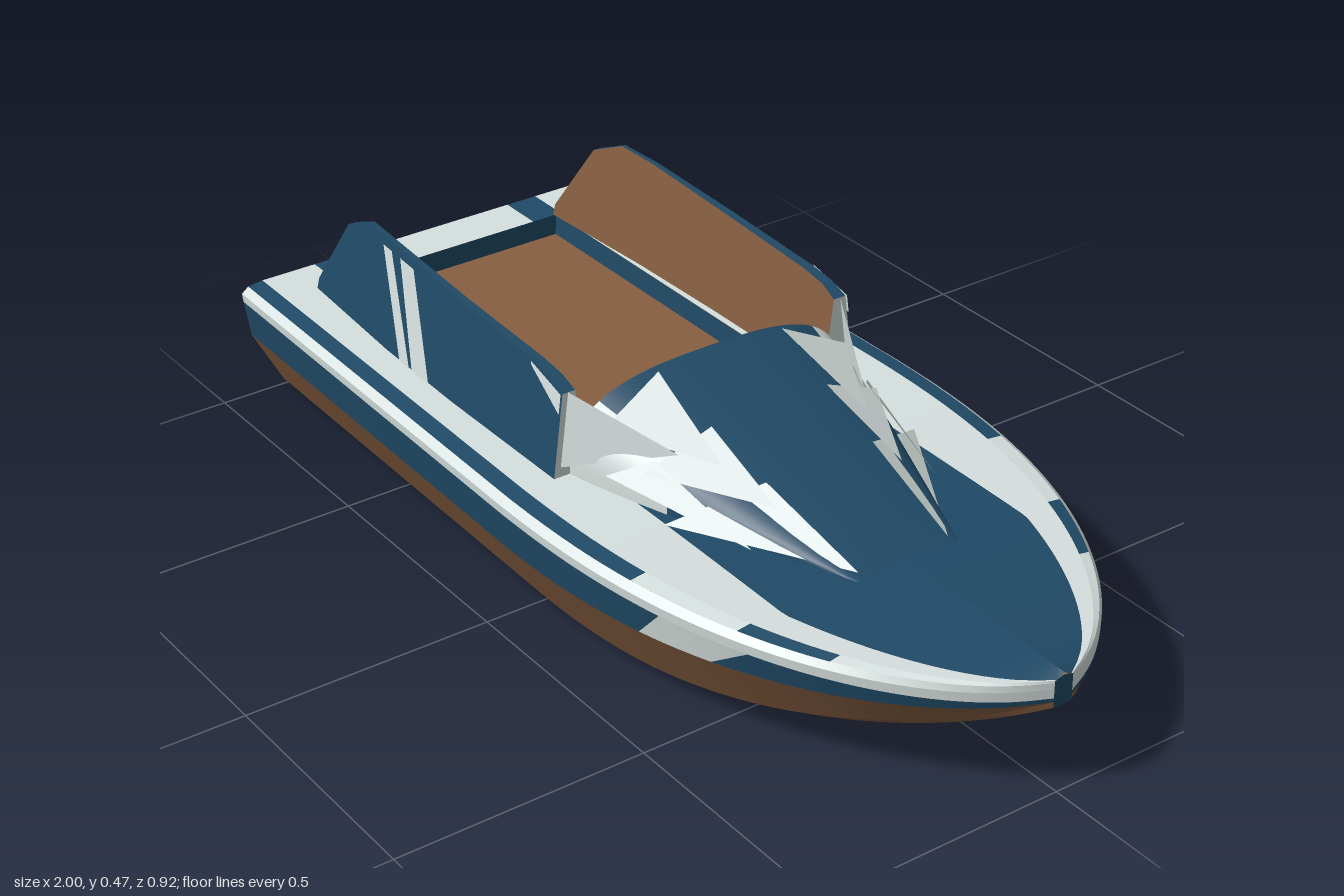
import * as THREE from 'three';

const mat = (name, color) =>
  new THREE.MeshStandardMaterial({ name, color, side: THREE.DoubleSide });
const lerp = THREE.MathUtils.lerp;

export function createModel() {
  const boat = new THREE.Group();
  boat.name = 'boat';
  const blue = mat('navyBlue', 0x204a66);
  const white = mat('paleGrey', 0xd6e0de);
  const brown = mat('brown', 0x875f41);
  const dark = mat('darkInterior', 0x2a2c30);

  // Smooth grid surface f(u, v) on the +z side, mirrored to -z
  function surf(name, material, f, nu = 1, nv = 1) {
    const pos = [], idx = [];
    for (const s of [1, -1]) {
      const base = pos.length / 3;
      for (let i = 0; i <= nu; i++) for (let j = 0; j <= nv; j++) {
        const [x, y, z] = f(i / nu, j / nv);
        pos.push(x, y, z * s);
      }
      for (let i = 0; i < nu; i++) for (let j = 0; j < nv; j++) {
        const a = base + i * (nv + 1) + j, b = a + nv + 1;
        if (s > 0) idx.push(a, b, a + 1, b, b + 1, a + 1);
        else idx.push(a, a + 1, b, b, a + 1, b + 1);
      }
    }
    const g = new THREE.BufferGeometry();
    g.setAttribute('position', new THREE.Float32BufferAttribute(pos, 3));
    g.setIndex(idx);
    g.computeVertexNormals();
    const mesh = new THREE.Mesh(g, material);
    mesh.name = name;
    boat.add(mesh);
  }
  // Flat patch from four corners: a, b along the first edge, c, d along the second
  const quad = (name, m, a, b, c, d) => surf(name, m, (u, v) =>
    [0, 1, 2].map(k => lerp(lerp(a[k], b[k], u), lerp(c[k], d[k], u), v)));

  // Hull lines: half width, keel, waterline and deck heights along x
  const fore = x => Math.min(1, Math.max(0, x));
  const width = x => x < 0 ? 0.46 + 0.02 * x
    : Math.max(0.02, 0.46 * Math.pow(1 - Math.pow(fore(x), 2.4), 0.65));
  const keel = x => 0.18 * Math.pow(fore(x), 2.2);
  const water = x => 0.135 + 0.058 * Math.pow(fore(x), 1.5);
  const deckY = x => 0.25 - 0.015 * fore(x) ** 2;
  const centre = x => Math.min(0.27, width(x) * 0.73);
  const lines = [
    x => [x, keel(x), 0],
    x => [x, keel(x), 0.76 * width(x)],
    x => [x, keel(x) + 0.012, 0.82 * width(x)],
    x => [x, water(x), 0.967 * width(x)],
    x => [x, deckY(x) - 0.035, 0.995 * width(x)],
    x => [x, deckY(x) - 0.016, width(x)],
    x => [x, deckY(x) - 0.004, 0.965 * width(x)],
    x => [x, deckY(x), 0.89 * width(x)],
    x => [x, deckY(x), centre(x)],
    x => [x, deckY(x) + 0.01 * Math.min(1, 2 * fore(x)), 0],
  ];
  // Band between two neighbouring hull lines; its ends may be slanted
  function band(name, m, i, x0, x1, top0 = x0, top1 = x1) {
    const n = Math.ceil((x1 - x0) * 50);
    surf(name, m, (u, v) => {
      const a = lines[i](lerp(x0, x1, u)), b = lines[i + 1](lerp(top0, top1, u));
      return a.map((p, k) => lerp(p, b[k], v));
    }, n, 1);
  }
  band('hullBottom', brown, 0, -1, 1);
  band('chine', brown, 1, -1, 1);
  band('lowerHullSide', brown, 2, -1, 1);
  band('upperHullSide', blue, 3, -1, 0.37, -1, 0.43);
  band('hullSidePatch', white, 3, 0.37, 0.53, 0.43, 0.61);
  band('bowSide', blue, 3, 0.53, 1, 0.61, 1);
  band('gunwaleLower', white, 4, -1, 1);
  band('gunwaleUpper', white, 5, -1, 1);
  band('deckStripe', blue, 6, -1, 0.35);
  band('deckStripeGap', white, 6, 0.35, 0.58);
  band('bowStripe', blue, 6, 0.58, 0.74);
  band('bowRim', white, 6, 0.74, 1);
  band('sideDeck', white, 7, -1, 1);
  band('foredeck', blue, 8, 0, 1);
  quad('bowTip', blue, [1, 0.18, 0], [1, 0.24, 0], [1, 0.18, 0.02], [1, 0.235, 0.02]);

  // Stern deck and transom
  quad('sternDeckCentre', white, [-1, 0.25, 0.2], [-0.9, 0.25, 0.2], [-1, 0.25, 0], [-0.9, 0.25, 0]);
  quad('sternDeckPatch', blue, [-1, 0.25, 0.27], [-0.9, 0.25, 0.27], [-1, 0.25, 0.2], [-0.9, 0.25, 0.2]);
  quad('transomCentre', white, [-1, 0, 0], [-1, 0, 0.21], [-1, 0.25, 0], [-1, 0.25, 0.21]);
  surf('transomSide', blue, (u, v) => {
    const [x, y, z] = lines[1 + Math.round(v * 6)](-1);
    return [x, y, lerp(0.21, z, u)];
  }, 1, 6);

  // Cockpit well
  quad('cockpitFloor', brown, [-0.9, 0.205, 0.255], [0, 0.205, 0.255], [-0.9, 0.205, 0], [0, 0.205, 0]);
  quad('wellSide', blue, [-0.9, 0.25, 0.258], [0, 0.25, 0.258], [-0.9, 0.205, 0.255], [0, 0.205, 0.255]);
  quad('coaming', white, [-0.9, 0.251, 0.272], [0, 0.251, 0.272], [-0.9, 0.251, 0.258], [0, 0.251, 0.258]);
  quad('wellBack', blue, [-0.9, 0.205, 0.27], [-0.9, 0.205, 0], [-0.9, 0.25, 0.27], [-0.9, 0.25, 0]);

  // Leaning side walls of the cockpit, turned in towards the stern
  const rim = [[-0.905, 0.25], [-0.9, 0.275], [-0.79, 0.435], [-0.7, 0.475], [-0.6, 0.473],
    [-0.35, 0.458], [-0.1, 0.445], [-0.04, 0.437], [0, 0.42]];
  const n = rim.length - 1;
  const at = u => rim[Math.round(u * n)];
  const toe = x => 0.027 * Math.min(1, Math.max(0, (-0.5 - x) / 0.4));
  const outZ = (x, y) => 0.345 - 0.03 * (y - 0.25) / 0.225 - toe(x);
  const inZ = (x, y) => 0.272 + 0.03 * (y - 0.25) / 0.225 - 0.7 * toe(x);
  surf('wallOuter', blue, (u, v) => {
    const [x, top] = at(u), y = lerp(0.25, top, v);
    return [x, y, outZ(x, y)];
  }, n, 1);
  surf('wallInner', brown, (u, v) => {
    const [x, top] = at(u), y = lerp(top, 0.25, v);
    return [x, y, inZ(x, y)];
  }, n, 1);
  surf('wallRim', blue, (u, v) => {
    const [x, y] = at(u);
    return [x, y, lerp(outZ(x, y), inZ(x, y), v)];
  }, n, 1);
  quad('wallFront', white, [0, 0.25, inZ(0, 0.25)], [0, 0.42, inZ(0, 0.42)],
    [0, 0.25, outZ(0, 0.25)], [0, 0.42, outZ(0, 0.42)]);

  // Painted plates on the walls
  const onWall = ([x, y]) => [x, y, outZ(x, y) + 0.004];
  const plate = (name, ...p) => quad(name, white, ...p.map(onWall));
  plate('wallStripeThin', [-0.54, 0.255], [-0.5, 0.255], [-0.635, 0.458], [-0.6, 0.458]);
  plate('wallStripeWide', [-0.49, 0.255], [-0.43, 0.255], [-0.565, 0.458], [-0.51, 0.458]);
  plate('wallFrontPatch', [-0.1, 0.438], [0, 0.38], [-0.1, 0.444], [0, 0.42]);

  // Rounded cowl ahead of the cockpit
  const cowl = (x, a) => {
    const h = 0.165 * (1 - x / 0.6), w = 0.31 - 0.2 * Math.pow(x / 0.6, 1.2);
    return [x, 0.25 + h * Math.pow(Math.sin(a), 0.7), w * Math.pow(Math.max(0, Math.cos(a)), 0.7)];
  };
  const cowlPart = (name, m, x0, x1, a0, a1) => surf(name, m,
    (u, v) => cowl(lerp(x0, x1, u), lerp(a0, a1, v) * Math.PI / 2), 12, 12);
  cowlPart('cowlSide', white, 0, 0.22, 0, 0.5);
  cowlPart('cowlShoulder', blue, 0, 0.22, 0.5, 1);
  cowlPart('cowlNose', blue, 0.22, 0.6, 0, 1);
  surf('cowlBulkhead', dark, (u, v) => {
    const [x, y, z] = cowl(0, u * Math.PI / 2);
    return [x, lerp(y, 0.205, v), z];
  }, 20, 1);

  // Jagged fins along each side of the cowl: outer corner, tip, peak
  const fins = [
    [[0, 0.27, 0.33], [0.2, 0.35, 0.21], [0, 0.42, 0.31]],
    [[0.06, 0.36, 0.275], [0.27, 0.345, 0.165], [0.04, 0.425, 0.14]],
    [[0.1, 0.29, 0.3], [0.42, 0.262, 0.21], [0.17, 0.335, 0.24]],
    [[0.17, 0.315, 0.265], [0.4, 0.312, 0.14], [0.19, 0.377, 0.13]],
    [[0.26, 0.262, 0.285], [0.58, 0.258, 0.1], [0.34, 0.33, 0.12]],
  ];
  for (const [a, b, c] of fins) quad('cowlFin', white, a, b, c, c);

  return boat;
}
